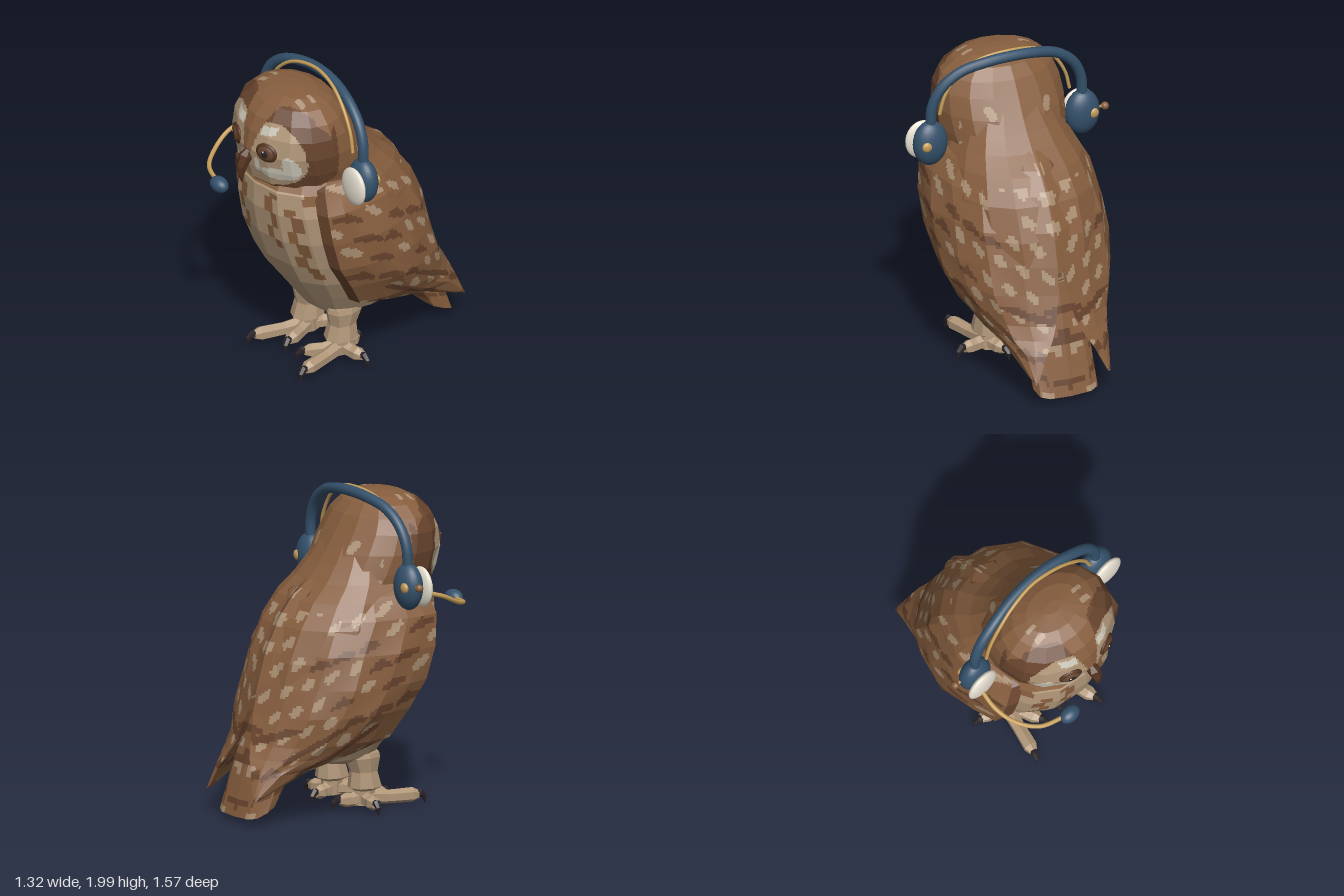
import * as THREE from 'three';

const mat = (name, color) => {
  const m = new THREE.MeshStandardMaterial({ color });
  m.name = name;
  return m;
};
const brown = mat('plumage brown', 0x875e3e);
const dark = mat('dark brown', 0x68442d);
const deep = mat('beak brown', 0x54331f);
const tan = mat('belly tan', 0xb09678);
const pale = mat('pale face', 0xcdc8ba);
const spot = mat('feather spot', 0xa98e72);
const navy = mat('headset navy', 0x34516b);
const cream = mat('ear pad cream', 0xece5d6);
const gold = mat('brass', 0xc49c58);
const black = mat('claw black', 0x2b2427);

const V = (x, y, z) => new THREE.Vector3(x, y, z);
const sq = (x) => x * x;
const hash = (a, b) => {
  const s = Math.sin(a * 127.1 + b * 311.7) * 43758.5453;
  return s - Math.floor(s);
};

// Skin closed rings (each running front -> +x -> back). Faces are split sub x sub,
// and paint is a material or a rule that picks one from a position and ring segment.
function loft(name, rings, paint, sub = 1) {
  const buckets = new Map();
  const put = (j, ...pts) => {
    const mid = V(0, 0, 0);
    pts.forEach((p) => mid.add(p));
    mid.divideScalar(pts.length);
    const m = typeof paint === 'function' ? paint(mid, j) : paint;
    if (!buckets.has(m)) buckets.set(m, []);
    const out = buckets.get(m);
    for (let k = 1; k < pts.length - 1; k++)
      for (const p of [pts[0], pts[k], pts[k + 1]]) out.push(p.x, p.y, p.z);
  };
  const n = rings[0].length;
  for (let i = 0; i < rings.length - 1; i++) {
    for (let j = 0; j < n; j++) {
      const k = (j + 1) % n;
      const at = (u, v) => rings[i][j].clone().lerp(rings[i][k], u)
        .lerp(rings[i + 1][j].clone().lerp(rings[i + 1][k], u), v);
      for (let p = 0; p < sub; p++)
        for (let q = 0; q < sub; q++)
          put(j, at(p / sub, q / sub), at((p + 1) / sub, q / sub),
            at((p + 1) / sub, (q + 1) / sub), at(p / sub, (q + 1) / sub));
    }
  }
  // end caps
  const last = rings.length - 1;
  for (const end of [0, last]) {
    const r = rings[end], c = V(0, 0, 0);
    r.forEach((p) => c.add(p));
    c.divideScalar(n);
    for (let j = 0; j < n; j++) {
      const k = (j + 1) % n;
      if (end === 0) put(j, c, r[k], r[j]);
      else put(j, c, r[j], r[k]);
    }
  }
  const geo = new THREE.BufferGeometry(), all = [], mats = [];
  for (const [m, list] of buckets) {
    geo.addGroup(all.length / 3, list.length / 3, mats.length);
    mats.push(m);
    for (const x of list) all.push(x);
  }
  geo.setAttribute('position', new THREE.Float32BufferAttribute(all, 3));
  geo.computeVertexNormals();
  const mesh = new THREE.Mesh(geo, mats.length > 1 ? mats : mats[0]);
  mesh.name = name;
  return mesh;
}

// Horizontal oval ring from its front z, back z and half width; e < 1 squares it off
function oval([y, zf, zb, hw], n, cx = 0, e = 0.85) {
  const pw = (t) => Math.sign(t) * Math.pow(Math.abs(t), e);
  return Array.from({ length: n }, (_, j) => {
    const a = (j / n) * Math.PI * 2;
    return V(cx + hw * pw(Math.sin(a)), y, (zf + zb) / 2 + ((zf - zb) / 2) * pw(Math.cos(a)));
  });
}

// Tapered limb along a path
function taper(name, pts, radii, material, n = 6, ref = V(0, 1, 0)) {
  return loft(name, pts.map((p, i) => {
    const t = pts[Math.min(i + 1, pts.length - 1)].clone().sub(pts[Math.max(i - 1, 0)]).normalize();
    const A = ref.clone().cross(t).normalize(), B = A.clone().cross(t);
    return Array.from({ length: n }, (_, j) => {
      const a = (j / n) * Math.PI * 2;
      return p.clone().addScaledVector(A, radii[i] * Math.sin(a)).addScaledVector(B, radii[i] * Math.cos(a));
    });
  }), material);
}

function ball(name, material, x, y, z, rx, ry, rz) {
  const m = new THREE.Mesh(new THREE.SphereGeometry(1, 24, 16), material);
  m.position.set(x, y, z);
  m.scale.set(rx, ry, rz);
  m.name = name;
  return m;
}

function wire(name, pts, r, material) {
  const curve = new THREE.CatmullRomCurve3(pts);
  const m = new THREE.Mesh(new THREE.TubeGeometry(curve, 48, r, 12), material);
  m.name = name;
  return m;
}

// Staggered rows of light spots and dark feather tips
function plumage(p) {
  const s = p.z + Math.abs(p.x), b = (p.y - 0.25 * s) / 0.14;
  const row = Math.floor(b), a = s / 0.2 + row * 0.5, col = Math.floor(a);
  const fu = a - col - 0.5, fv = b - row - 0.5, h = hash(row, col);
  if (p.y < 0.62 && p.z < 0) {
    const st = (p.y - 0.6 * p.z) / 0.15;
    if (st - Math.floor(st) < 0.28 && h > 0.3) return dark;
  }
  if (h > 0.45 && sq(fu / 0.3) + sq((fv - fu * 0.3) / 0.23) < 1) return spot;
  if (h < 0.36 && fv < -0.05 - Math.abs(fu) * 0.6 && Math.abs(fu) < 0.45) return dark;
  return brown;
}

// Tan breast with stepped brown streaks
function bodyPaint(p) {
  const x = Math.abs(p.x);
  if (!((p.z > 0.1 && p.y < 1.36) || (p.y < 0.5 && p.z > -0.42))) return p.y > 1.3 ? brown : plumage(p);
  if (p.y > 1.28 && x > 0.32) return brown;
  const shift = Math.floor(p.y / 0.1) % 2 ? 0.02 : -0.02;
  if (p.z > 0.3) {
    if (p.y > 0.94 && p.y < 1.33 && Math.abs(x - 0.14 - shift) < 0.028) return brown;
    if (p.y > 0.7 && p.y < 1.25 && Math.abs(x - 0.28 - shift) < 0.028) return brown;
  }
  return tan;
}

// Facial discs, dark rim, brows and crown
function headPaint(p) {
  const x = Math.abs(p.x), { y, z } = p;
  if (z > 0.3 && y > 1.4) {
    const d = Math.hypot((x - 0.16) / 0.195, (y - 1.61) / (y < 1.61 ? 0.205 : 0.222));
    const wedge = y > 1.57 && x < 0.022 + (y - 1.57) * 0.28;
    if (!wedge && (d < 1 || (x < 0.16 && y < 1.61))) {
      const cheek = sq((x - 0.2) / 0.105) + sq((y - 1.495) / 0.042) < 1 || sq((x - 0.28) / 0.042) + sq((y - 1.555) / 0.085) < 1
        || sq((x - 0.07) / 0.025) + sq((y - 1.53) / 0.05) < 1;
      const brow = Math.abs(x - 0.14) < 0.05 && Math.abs(y - 1.778 - (x - 0.14) * 0.2) < 0.026;
      return cheek || brow ? pale : tan;
    }
    if (d < 1.36 && !wedge) return dark;
  }
  if (y > 1.8 && Math.abs(x - 0.19) < 0.035 && (Math.abs(z - 0.35) < 0.014 || Math.abs(z - 0.43) < 0.018)) return spot;
  return z < 0.12 && plumage(p) === spot && hash(Math.floor(y / 0.13), 3) > 0.3 ? spot : brown;
}

export function createModel() {
  const root = new THREE.Group();
  root.name = 'owl with headset';
  const owl = new THREE.Group();
  owl.name = 'owl';
  owl.position.x = 0.015;
  root.add(owl);

  // Body and head
  owl.add(loft('body', [
    [0.3, 0.17, -0.1, 0.15], [0.35, 0.235, -0.36, 0.25], [0.5, 0.345, -0.5, 0.34], [0.65, 0.455, -0.55, 0.41],
    [0.8, 0.535, -0.57, 0.445], [1.0, 0.61, -0.52, 0.47], [1.2, 0.645, -0.43, 0.465], [1.35, 0.64, -0.32, 0.42],
    [1.45, 0.57, -0.2, 0.37], [1.55, 0.48, -0.11, 0.32], [1.68, 0.4, -0.015, 0.25],
  ].map((r) => oval(r, 16)), bodyPaint, 9));
  owl.add(loft('head', [
    [1.33, 0.58, -0.22, 0.34], [1.4, 0.65, -0.19, 0.375], [1.5, 0.68, -0.12, 0.4], [1.62, 0.7, -0.06, 0.413],
    [1.74, 0.675, 0.015, 0.4], [1.83, 0.63, 0.07, 0.36], [1.9, 0.56, 0.13, 0.28], [1.94, 0.48, 0.21, 0.19],
    [1.955, 0.38, 0.31, 0.06],
  ].map((r) => oval(r, 16, 0, 1)), headPaint, 12));
  owl.add(taper('beak', [V(0, 1.605, 0.68), V(0, 1.565, 0.705), V(0, 1.5, 0.735), V(0, 1.44, 0.742), V(0, 1.385, 0.732)],
    [0.018, 0.044, 0.034, 0.019, 0.003], deep, 6, V(0, 0, 1)));

  // Tail with a slanted end
  owl.add(loft('tail', [
    [0.135, 0.045, -0.55, -0.755, 0.21], [0.4, 0.36, -0.36, -0.67, 0.2], [0.78, 0.78, -0.2, -0.55, 0.12],
  ].map(([yf, yb, zf, zb, hw]) => oval([0, zf, zb, hw], 12, 0, 0.6).map((p) => {
    p.y = THREE.MathUtils.mapLinear(p.z, zb, zf, yb, yf);
    return p;
  })), plumage, 9));

  // Wing rows: y, then x,z of the leading edge, the widest point and the trailing edge
  const wingRows = [
    [0.18, 0.25, -0.765, 0.255, -0.775, 0.235, -0.78], [0.34, 0.31, -0.42, 0.325, -0.55, 0.16, -0.74],
    [0.42, 0.36, -0.12, 0.39, -0.33, 0.11, -0.715], [0.5, 0.4, 0.13, 0.45, -0.22, 0.07, -0.68],
    [0.68, 0.46, 0.24, 0.535, -0.08, 0.03, -0.63], [0.85, 0.487, 0.345, 0.555, 0.02, 0.015, -0.585],
    [1.05, 0.497, 0.405, 0.55, 0.1, 0.01, -0.52], [1.25, 0.475, 0.43, 0.505, 0.2, 0.01, -0.415],
    [1.38, 0.4, 0.4, 0.425, 0.2, 0.01, -0.31], [1.5, 0.24, 0.25, 0.28, 0.1, 0.02, -0.13],
  ];
  const wingRing = ([y, fx, fz, ox, oz, bx, bz], i) => {
    const F = V(fx, y, fz), O = V(ox, y, oz), B = V(bx, y, bz), len = O.distanceTo(B);
    const M = O.clone().lerp(B, 0.5).add(V(0.14 * len, 0, -0.15 * len));
    const ring = new THREE.CatmullRomCurve3([F, O, M, B]).getPoints(6);
    ring.forEach((p, j) => { if (i && j && j < 6 && (i + j) % 2) p.x -= 0.01; });
    const inner = i < 3 ? F.clone().add(V(-0.01, 0, 0.005)) : F.clone().add(V(-0.075, 0, 0.03));
    return [...ring, B.clone().lerp(inner, 0.5), inner];
  };
  const wingPaint = (p, j) => (j === 8 ? dark : plumage(p)); // the last segment is the leading edge

  for (const s of [1, -1]) {
    const side = s > 0 ? 'left' : 'right';
    const rings = wingRows.map(wingRing);
    if (s < 0) rings.forEach((r) => { r.forEach((p) => { p.x *= -1; }); r.reverse(); });
    owl.add(loft(side + 'Wing', rings, wingPaint, 11));

    // Eye
    const eye = new THREE.Group();
    eye.name = side + 'Eye';
    eye.position.set(s * 0.15, 1.64, 0.658);
    eye.rotation.y = s * 0.36;
    eye.add(ball('eyeRim', deep, 0, 0, 0, 0.076, 0.064, 0.022),
      ball('iris', dark, 0, 0, 0.008, 0.06, 0.05, 0.02),
      ball('pupil', black, 0, 0, 0.016, 0.035, 0.035, 0.014),
      ball('glint', cream, -0.01, 0.014, 0.027, 0.007, 0.007, 0.004));
    owl.add(eye);

    // Feathered leg, toes and claws
    const lx = s * 0.17;
    owl.add(loft(side + 'Leg', [
      [0.04, 0.17, 0.03, 0.055], [0.13, 0.17, 0.04, 0.06], [0.15, 0.215, 0, 0.092], [0.25, 0.185, 0.01, 0.078],
      [0.34, 0.205, -0.03, 0.092], [0.37, 0.2, -0.03, 0.085],
    ].map((r) => oval(r, 8, lx)), tan));
    for (const [dx, tz] of [[0.1, 0.49], [-0.11, 0.36], [0.215, 0.06], [-0.06, -0.09]]) {
      const tip = V(lx + s * dx, 0, tz), base = V(lx, 0, 0.1);
      const dir = tip.clone().sub(base), len = dir.length();
      dir.normalize();
      const on = (d, y) => base.clone().addScaledVector(dir, d).setY(y);
      owl.add(taper(side + 'Toe', [on(0, 0.085), on(len * 0.4, 0.072), on(len - 0.085, 0.072), on(len - 0.045, 0.07)],
        [0.052, 0.043, 0.046, 0.028], tan));
      owl.add(taper(side + 'Claw', [on(len - 0.065, 0.075), on(len - 0.03, 0.082), on(len - 0.005, 0.055), on(len, 0.01)],
        [0.022, 0.025, 0.018, 0.002], black));
    }

    // Ear cup, cushion and brass button
    owl.add(ball(side + 'EarCup', navy, s * 0.512, 1.455, 0.19, 0.112, 0.147, 0.078),
      ball(side + 'EarPad', cream, s * 0.528, 1.445, 0.275, 0.112, 0.126, 0.036),
      ball(side + 'CupButton', gold, s * 0.56, 1.46, 0.127, 0.033, 0.033, 0.02));
  }

  // Headband and brass wire, mirrored about the middle
  const arch = (half) => [...half.map(([x, y, z]) => V(-x, y, z)), ...half.slice(0, -1).reverse().map(([x, y, z]) => V(x, y, z))];
  owl.add(wire('headband', arch([[0.51, 1.56, 0.19], [0.5, 1.7, 0.185], [0.44, 1.82, 0.175], [0.32, 1.91, 0.16],
    [0.15, 1.955, 0.135], [0, 1.965, 0.128]]), 0.033, navy));
  owl.add(wire('brassWire', arch([[0.437, 1.62, 0.215], [0.405, 1.74, 0.21], [0.32, 1.87, 0.2], [0.195, 1.955, 0.18],
    [0, 1.988, 0.16]]), 0.011, gold));

  // Microphone on its boom
  owl.add(wire('micBoom', [V(-0.55, 1.41, 0.29), V(-0.56, 1.37, 0.42), V(-0.52, 1.31, 0.55), V(-0.42, 1.275, 0.67),
    V(-0.24, 1.26, 0.73)], 0.014, gold));
  owl.add(ball('microphone', navy, -0.23, 1.26, 0.735, 0.07, 0.05, 0.05));
  owl.add(ball('sideKnob', brown, -0.655, 1.47, 0.17, 0.025, 0.025, 0.025));
  owl.add(taper('knobStem', [V(-0.58, 1.47, 0.18), V(-0.65, 1.47, 0.17)], [0.01, 0.01], gold));
  return root;
}
